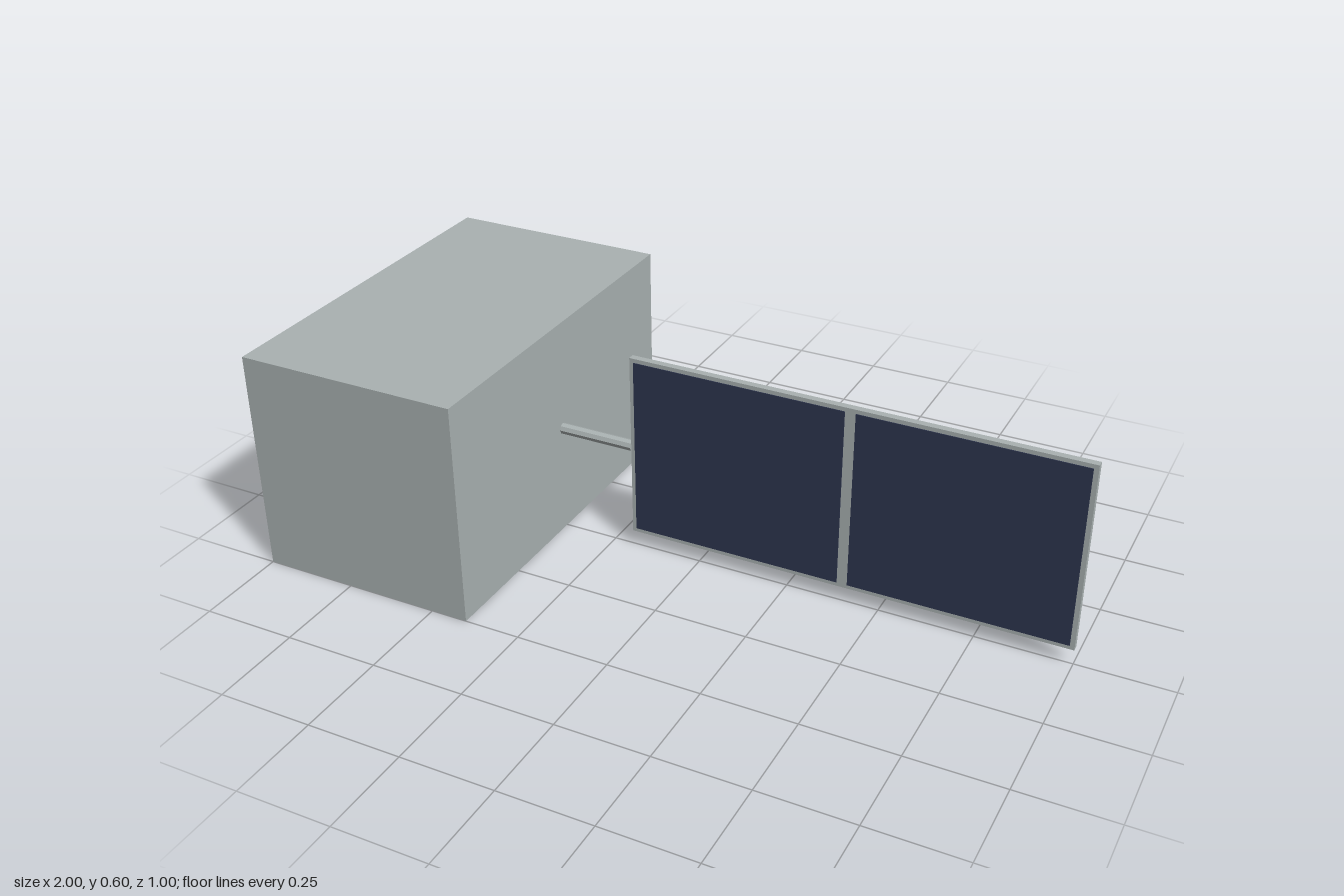
import * as THREE from 'three';

export function createModel() {
  const model = new THREE.Group();

  const bodyGrey = new THREE.MeshStandardMaterial({ color: 0xaab2b2 });
  bodyGrey.name = 'bodyGrey';
  const cellNavy = new THREE.MeshStandardMaterial({ color: 0x2e3650 });
  cellNavy.name = 'cellNavy';

  // Adds a box given by its extents on each axis
  function addBox(name, material, [x0, x1], [y0, y1], [z0, z1]) {
    const mesh = new THREE.Mesh(new THREE.BoxGeometry(x1 - x0, y1 - y0, z1 - z0), material);
    mesh.position.set((x0 + x1) / 2, (y0 + y1) / 2, (z0 + z1) / 2);
    mesh.name = name;
    model.add(mesh);
  }

  // Main body
  addBox('body', bodyGrey, [-1, -0.4], [0, 0.6], [-0.5, 0.5]);

  // Faceted boom joining the body to the panel
  const boomGeometry = new THREE.CylinderGeometry(0.015, 0.015, 0.208, 8).toNonIndexed();
  boomGeometry.computeVertexNormals();
  const boom = new THREE.Mesh(boomGeometry, bodyGrey);
  boom.rotation.z = Math.PI / 2;
  boom.position.set(-0.296, 0.3, 0);
  boom.name = 'boom';
  model.add(boom);

  // Panel frame with two thin cell plates on its front
  addBox('panelFrame', bodyGrey, [-0.192, 1], [0.045, 0.556], [-0.01, 0.008]);
  addBox('innerCell', cellNavy, [-0.181, 0.389], [0.056, 0.545], [0.007, 0.01]);
  addBox('outerCell', cellNavy, [0.417, 0.988], [0.056, 0.545], [0.007, 0.01]);

  return model;
}
